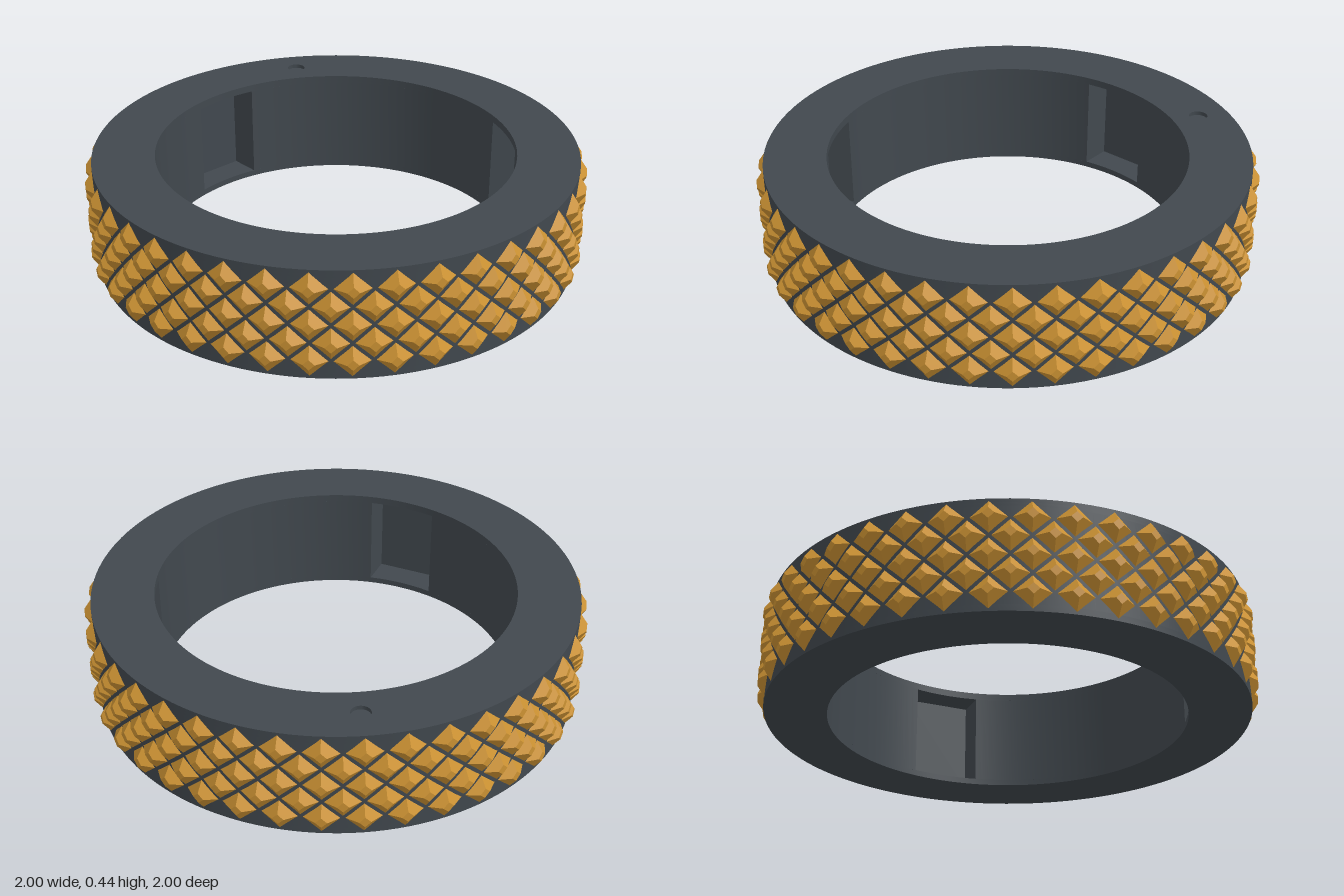
import * as THREE from 'three';
import { mergeGeometries, toCreasedNormals } from 'three/addons/utils/BufferGeometryUtils.js';

const H = 0.445, OUTER = 0.971, INNER = 0.722;
const POCKET_HALF = 0.142, POCKET_BACK = 0.838;
const COLUMNS = 40;

// points on a circle, from angle a to angle b
function arc(r, a, b, n, cx = 0, cy = 0) {
  return Array.from({ length: n + 1 }, (_, i) => {
    const t = a + (b - a) * i / n;
    return new THREE.Vector2(cx + r * Math.cos(t), cy + r * Math.sin(t));
  });
}
const circle = (r, n, cx, cy) => arc(r, 0, Math.PI * 2, n, cx, cy).slice(0, n);

// inner outline with three square pockets cut outward into the wall
function pocketOutline() {
  const half = Math.asin(POCKET_HALF / INNER), pts = [];
  const origin = new THREE.Vector2();
  for (let i = 0; i < 3; i++) {
    const a = i * Math.PI * 2 / 3;
    pts.push(
      new THREE.Vector2(POCKET_BACK, -POCKET_HALF).rotateAround(origin, a),
      new THREE.Vector2(POCKET_BACK, POCKET_HALF).rotateAround(origin, a),
      ...arc(INNER, a + half, a + Math.PI * 2 / 3 - half, 40));
  }
  return pts;
}

// one horizontal layer of the ring between heights y0 and y1
function layer(y0, y1, ...holes) {
  const shape = new THREE.Shape(circle(OUTER, 144));
  holes.forEach(h => shape.holes.push(new THREE.Path(h)));
  const g = new THREE.ExtrudeGeometry(shape, { depth: y1 - y0, bevelEnabled: false });
  g.rotateX(-Math.PI / 2).translate(0, y0, 0);
  return toCreasedNormals(g, 0.4);
}

export function createModel() {
  const group = new THREE.Group();
  const charcoal = new THREE.MeshStandardMaterial({ color: 0x41484e });
  charcoal.name = 'charcoal';
  const gold = new THREE.MeshStandardMaterial({ color: 0xcc9233 });
  gold.name = 'gold';
  const add = (name, geometry, material) => {
    const mesh = new THREE.Mesh(geometry, material);
    mesh.name = name;
    group.add(mesh);
  };

  // ring body in layers: plain floor, pocketed middle, plain lid, dimpled top
  const bore = circle(INNER, 144);
  const top = H - 0.016;
  add('ringBottom', layer(0, 0.025, bore), charcoal);
  add('ringPocketWall', layer(0.025, 0.415, pocketOutline()), charcoal);
  add('ringLid', layer(0.415, top, bore), charcoal);
  add('ringTopWithDimple', layer(top, H, bore, circle(0.038, 32, 0, 0.84)), charcoal);

  // knurling: five staggered rows of blunt four-sided pyramids
  const stud = new THREE.CylinderGeometry(0.022, H / 6, 0.036, 4).toNonIndexed();
  stud.rotateX(Math.PI / 2).translate(0, 0, 0.982);
  stud.computeVertexNormals();
  const studs = [];
  for (let row = 0; row < 5; row++) {
    for (let i = 0; i < COLUMNS; i++) {
      const angle = (i + (row % 2) / 2) * Math.PI * 2 / COLUMNS;
      studs.push(stud.clone().rotateY(angle).translate(0, (row + 1) * H / 6, 0));
    }
  }
  add('knurledStuds', mergeGeometries(studs), gold);
  return group;
}
